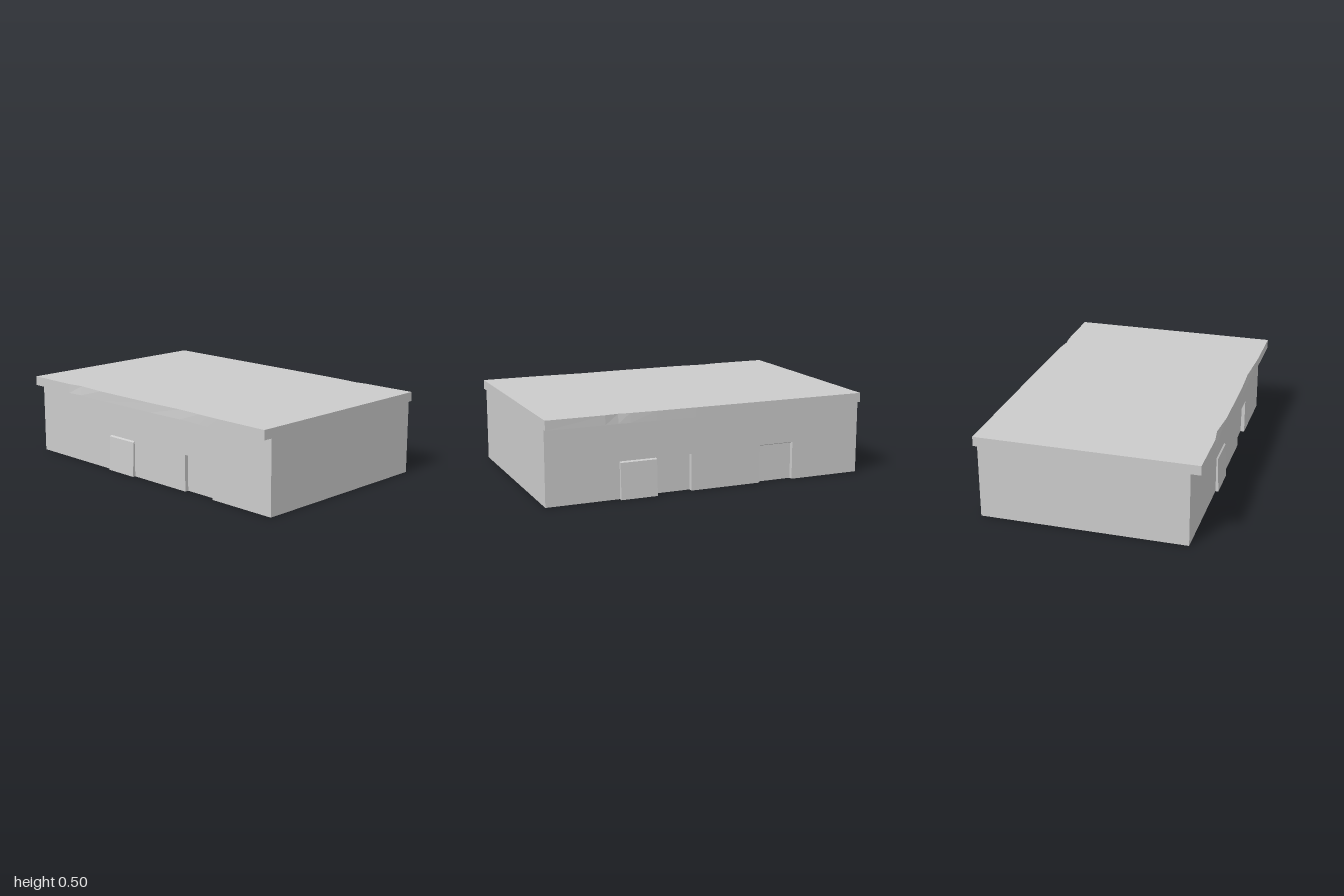
import * as THREE from 'three';

const EAVE = 0.443, TOP = 0.5, RIM = 0.66;
const LEFT = 0.634, RIGHT = -0.602;
const mat = new THREE.MeshStandardMaterial({ color: 0xcccccc, flatShading: true, side: THREE.DoubleSide });

function addMesh(group, name, geometry) {
  const mesh = new THREE.Mesh(geometry, mat);
  mesh.name = name;
  group.add(mesh);
  return mesh;
}

// Skins a list of { z, points: [[x, y], ...] } cross-sections with flat faces
function loft(sections) {
  const rows = sections.map(({ z, points }) => points.map(([x, y]) => new THREE.Vector3(x, y, z)));
  const tri = new THREE.Triangle();
  const corners = [];
  const push = (a, b, c) => {
    if (tri.set(a, b, c).getArea() > 1e-7) corners.push(a, b, c);
  };
  for (let i = 0; i + 1 < rows.length; i++) {
    const s = rows[i], t = rows[i + 1];
    for (let j = 0; j + 1 < s.length; j++) {
      push(s[j], t[j], t[j + 1]);
      push(s[j], t[j + 1], s[j + 1]);
    }
  }
  const geometry = new THREE.BufferGeometry().setFromPoints(corners);
  geometry.computeVertexNormals();
  return geometry;
}

// Side wall made of bays { z, door }, each running to the next bay,
// with a jamb wherever the profile changes
function sideWall(wallX, bays, endZ) {
  const plain = { foot: wallX, head: wallX, headY: 0.218, lintelY: 0.222 };
  return loft(bays.flatMap(({ z, door = plain }, i) => {
    const points = [[door.foot, 0], [door.head, door.headY], [wallX, door.lintelY], [wallX, EAVE]];
    return [z, bays[i + 1]?.z ?? endZ].map((stationZ) => ({ z: stationZ, points }));
  }));
}

export function createModel() {
  const group = new THREE.Group();
  group.name = 'building';

  // Left wall: one projecting door beside a recessed one, and a second recess
  const proud = { foot: 0.659, head: 0.648, headY: 0.215, lintelY: 0.221 };
  const flatRecess = { foot: 0.606, head: 0.606, headY: 0.221, lintelY: 0.221 };
  const slopedRecess = { foot: 0.609, head: 0.607, headY: 0.22, lintelY: 0.23 };
  addMesh(group, 'leftWall', sideWall(LEFT, [
    { z: 1 }, { z: 0.558, door: proud }, { z: 0.335, door: flatRecess }, { z: 0.112 },
    { z: -0.332, door: slopedRecess }, { z: -0.552 },
  ], -1));

  // Right wall: one projecting and one recessed door
  addMesh(group, 'rightWall', sideWall(RIGHT, [
    { z: -1 }, { z: -0.33, door: { foot: -0.62, head: -0.611, headY: 0.213, lintelY: 0.221 } }, { z: -0.11 },
    { z: 0.33, door: { foot: -0.578, head: -0.58, headY: 0.22, lintelY: 0.222 } }, { z: 0.555 },
  ], 1));

  // End walls run up to the roof and close the ends of the eaves
  const endShape = new THREE.Shape([
    [RIGHT, 0], [LEFT, 0], [LEFT, EAVE], [RIM, EAVE], [RIM, TOP], [-RIM, TOP], [-RIM, EAVE], [RIGHT, EAVE],
  ].map(([x, y]) => new THREE.Vector2(x, y)));
  addMesh(group, 'frontWall', new THREE.ShapeGeometry(endShape)).position.z = 1;
  addMesh(group, 'backWall', new THREE.ShapeGeometry(endShape)).position.z = -1;

  // Hollow roof: eave underside, rim, top, rim, eave underside.
  // Stations are [z, left rim x, right rim x]; the lower rim is straighter than the upper one.
  const lower = (x) => x + (Math.sign(x) * RIM - x) * 0.4;
  const stations = [
    [1, 0.66, -0.66], [0.65, 0.657, -0.66], [0.57, 0.647, -0.658], [0.5, 0.655, -0.655], [0.34, 0.659, -0.648],
    [0.1, 0.66, -0.657], [-0.35, 0.66, -0.659], [-0.55, 0.66, -0.645], [-0.66, 0.66, -0.66], [-1, 0.66, -0.66],
  ];
  addMesh(group, 'roof', loft(stations.map(([z, l, r]) => ({
    z,
    points: [[LEFT, EAVE], [lower(l), EAVE], [l, TOP], [r, TOP], [lower(r), EAVE], [RIGHT, EAVE]],
  }))));

  return group;
}
